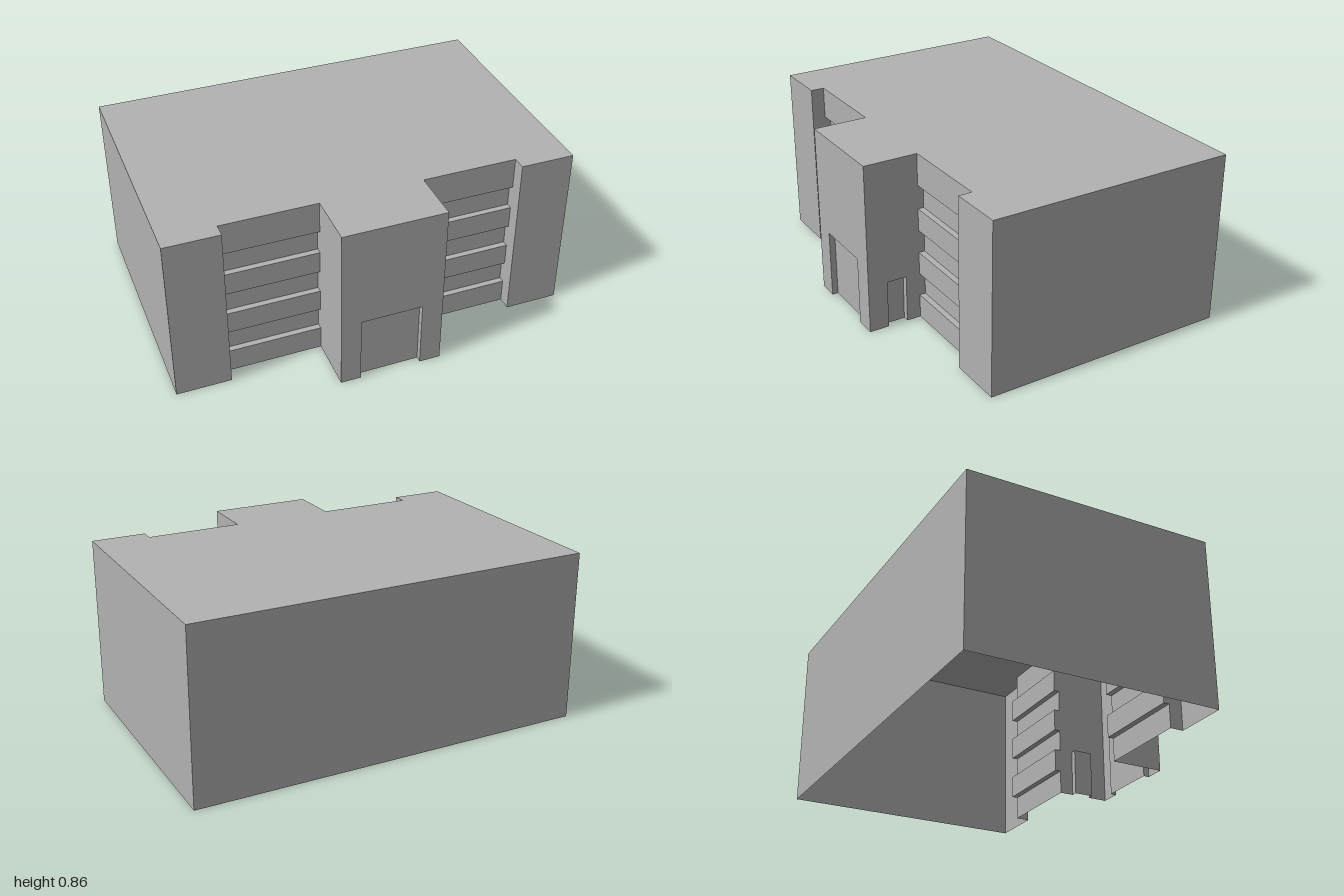
import * as THREE from 'three';

const H = 0.86;                       // building height
const BACK = -0.727, WING = 0.523, RECESS = 0.455, PORCH = 0.727;
const X0 = 0.255, X1 = 0.73;          // facade bay between porch and wing
const SET = 0.03;                     // depth of window bands and doors

const concrete = new THREE.MeshStandardMaterial({ color: 0xb2b2b2, side: THREE.DoubleSide });
concrete.name = 'concrete';

function mesh(name, geometry) {
  const m = new THREE.Mesh(geometry, concrete);
  m.name = name;
  return m;
}

// Sweeps a path of [x, y, z] points along a vector into flat quads
function sweep(path, v) {
  const pos = [];
  const add = (p) => [p[0] + v[0], p[1] + v[1], p[2] + v[2]];
  for (let i = 0; i < path.length - 1; i++) {
    const a = path[i], b = path[i + 1], c = add(b), d = add(a);
    pos.push(...a, ...b, ...c, ...a, ...c, ...d);
  }
  const g = new THREE.BufferGeometry();
  g.setAttribute('position', new THREE.Float32BufferAttribute(pos, 3));
  g.computeVertexNormals();
  return g;
}

const wall = (plan) => sweep(plan.map(([x, z]) => [x, 0, z]), [0, H, 0]);

// Wall from x = 0 to width, with a doorway set back behind it
function doorWall(name, width, l, r, top) {
  const group = new THREE.Group();
  group.name = name;
  const outline = [[0, 0], [l, 0], [l, top], [r, top], [r, 0], [width, 0], [width, H], [0, H]];
  const shape = new THREE.Shape(outline.map(([x, y]) => new THREE.Vector2(x, y)));
  group.add(mesh('doorSurround', new THREE.ShapeGeometry(shape)));
  group.add(mesh('doorReveal',
    sweep([[l, 0, -SET], [l, top, -SET], [r, top, -SET], [r, 0, -SET]], [0, 0, SET])));
  group.add(mesh('door', sweep([[l, 0, -SET], [r, 0, -SET]], [0, top, 0])));
  return group;
}

// Bay of stepped bands: solid spandrels alternate with set-back windows
function windowBay(name, xa, xb) {
  const group = new THREE.Group();
  group.name = name;
  const levels = [H, 0.7, 0.58, 0.467, 0.35, 0.237, 0.12, 0];
  const profile = [];
  for (let i = 0; i < levels.length - 1; i++) {
    const z = i % 2 ? RECESS - SET : RECESS;
    profile.push([xa, levels[i], z], [xa, levels[i + 1], z]);
    if (i % 2) {
      const h = [0, levels[i] - levels[i + 1], 0], y = levels[i + 1];
      group.add(mesh('windowCheek', sweep([[xa, y, RECESS], [xa, y, RECESS - SET]], h)));
      group.add(mesh('windowCheek', sweep([[xb, y, RECESS - SET], [xb, y, RECESS]], h)));
    }
  }
  group.add(mesh('windowBands', sweep(profile, [xb - xa, 0, 0])));
  return group;
}

export function createModel() {
  const model = new THREE.Group();
  model.name = 'building';

  // Wings, sides and back as one continuous wall
  const shell = [[X1, RECESS], [X1, WING], [1, WING], [1, BACK],
    [-1, BACK], [-1, WING], [-X1, WING], [-X1, RECESS]];
  model.add(mesh('outerWalls', wall(shell)));

  // Window bays on both sides of the porch
  model.add(windowBay('rightWindowBay', -X1, -X0));
  model.add(windowBay('leftWindowBay', X0, X1));

  // Porch block with a main door and one side door
  model.add(mesh('porchRightWall', wall([[-X0, RECESS], [-X0, PORCH]])));
  const front = doorWall('mainEntrance', 2 * X0, 0.1, 0.405, 0.345);
  front.position.set(-X0, 0, PORCH);
  model.add(front);
  const side = doorWall('sideEntrance', PORCH - RECESS, 0.1, 0.2, 0.24);
  side.rotation.y = Math.PI / 2;
  side.position.set(X0, 0, PORCH);
  model.add(side);

  // Flat roof following the plan
  const plan = [...shell, [-X0, RECESS], [-X0, PORCH], [X0, PORCH], [X0, RECESS]];
  const roof = new THREE.ShapeGeometry(
    new THREE.Shape(plan.map(([x, z]) => new THREE.Vector2(x, -z))));
  roof.rotateX(-Math.PI / 2).translate(0, H, 0);
  model.add(mesh('roof', roof));

  return model;
}
